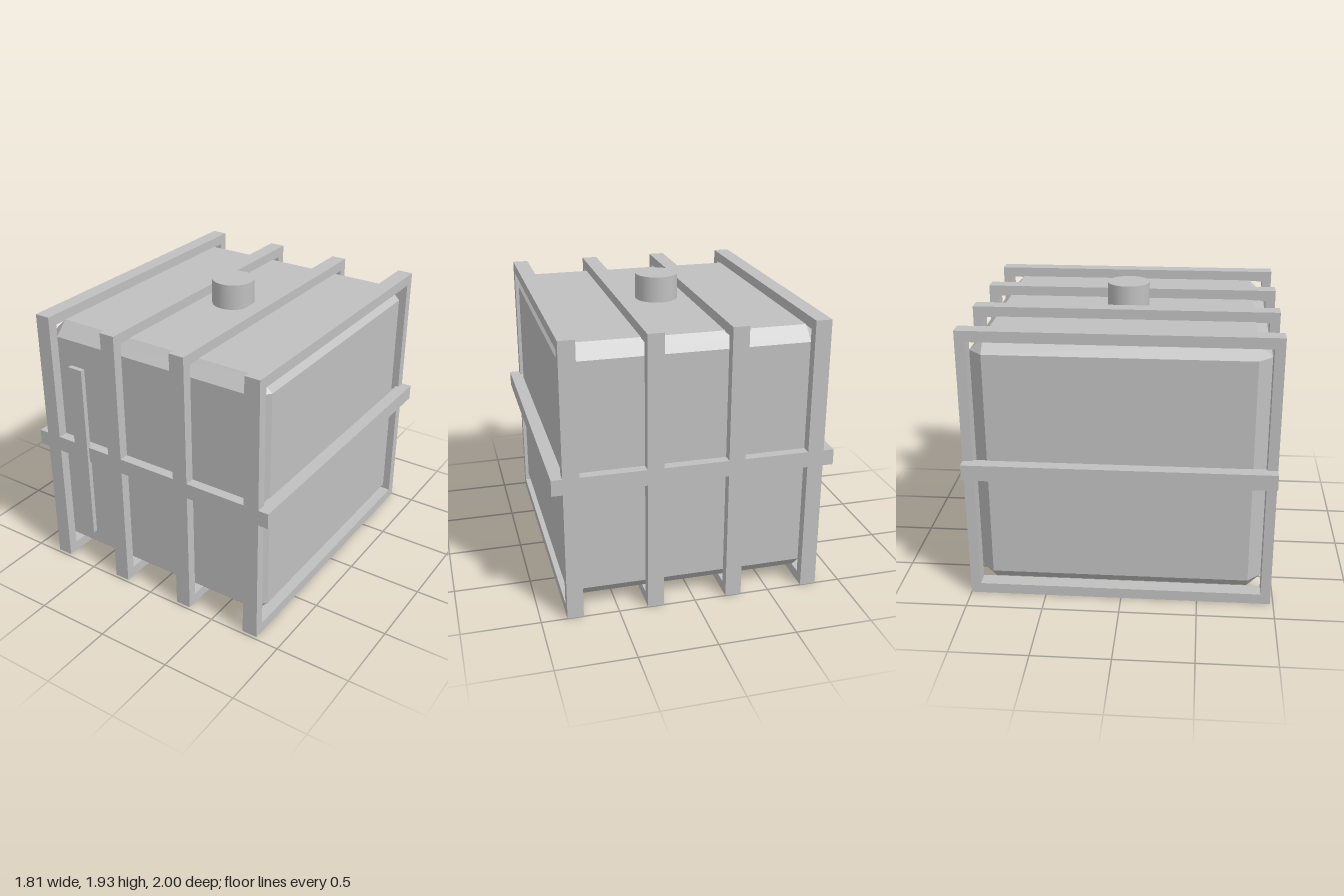
import * as THREE from 'three';
import { ConvexGeometry } from 'three/addons/geometries/ConvexGeometry.js';

const grey = new THREE.MeshStandardMaterial({ color: 0xc0c0c0 });
grey.name = 'plain grey';

const CZ = -0.01; // depth centre of tank and frames

// Box with every edge bevelled, from half sizes
function bevelledBox(hx, hy, hz, c) {
  const points = [];
  for (const x of [-1, 1]) for (const y of [-1, 1]) for (const z of [-1, 1]) {
    points.push(
      new THREE.Vector3(x * hx, y * (hy - c), z * (hz - c)),
      new THREE.Vector3(x * (hx - c), y * hy, z * (hz - c)),
      new THREE.Vector3(x * (hx - c), y * (hy - c), z * hz));
  }
  return new ConvexGeometry(points);
}

// Rectangular band in the XY plane, extruded and centred along z
function band(outerW, outerH, innerW, innerH, width) {
  const rect = (P, w, h) => {
    const p = new P();
    p.moveTo(-w / 2, -h / 2).lineTo(w / 2, -h / 2).lineTo(w / 2, h / 2).lineTo(-w / 2, h / 2).closePath();
    return p;
  };
  const shape = rect(THREE.Shape, outerW, outerH);
  shape.holes.push(rect(THREE.Path, innerW, innerH));
  return new THREE.ExtrudeGeometry(shape, { depth: width, bevelEnabled: false }).translate(0, 0, -width / 2);
}

export function createModel() {
  const model = new THREE.Group();
  model.name = 'framedTank';
  const add = (name, geometry, x, y, z) => {
    const mesh = new THREE.Mesh(geometry, grey);
    mesh.name = name;
    mesh.position.set(x, y, z);
    model.add(mesh);
    return mesh;
  };

  // Tank with chamfered edges
  add('tankBody', bevelledBox(0.82, 0.843, 0.925, 0.088), 0, 0.918, CZ);

  // Four upright frames around the tank
  const frame = band(1.98, 1.826, 1.85, 1.686, 0.104).rotateY(Math.PI / 2);
  [-0.782, -0.26, 0.26, 0.782].forEach((x, i) => add('uprightFrame' + (i + 1), frame, x, 0.913, CZ));

  // Horizontal belt around the middle
  add('middleBelt', band(1.806, 1.98, 1.63, 1.85, 0.104).rotateX(Math.PI / 2), 0, 0.915, CZ);

  // Filler cap
  add('fillerCap', new THREE.CylinderGeometry(0.14, 0.14, 0.18, 32), 0, 1.84, CZ);

  // Level gauge strip on the front
  add('levelGauge', new THREE.BoxGeometry(0.107, 1.23, 0.032), -0.528, 0.916, 0.981);

  return model;
}
